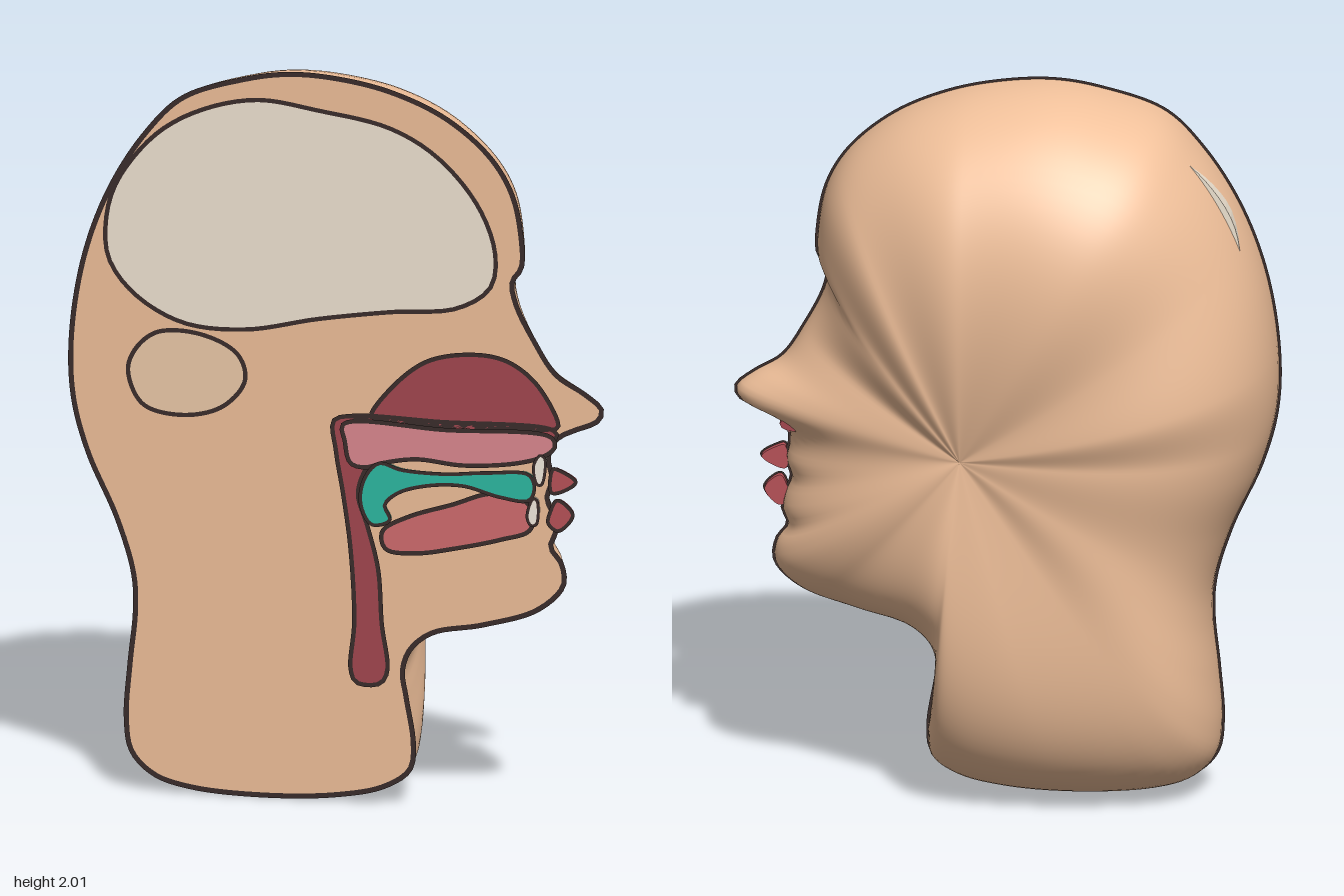
import * as THREE from 'three';

const CUT = 0.215; // plane of the flat section
const INK = 0x3a2c2a;

// Smooth closed outline through [x, y] pairs, anticlockwise seen from +z
function outline(pts, n) {
  const c = new THREE.CatmullRomCurve3(pts.map(([x, y]) => new THREE.Vector3(x, y, 0)), true);
  return c.getSpacedPoints(n).slice(0, n).map(p => new THREE.Vector2(p.x, p.y));
}

// Outline with small features averaged away
function soften(pts, reach) {
  const n = pts.length;
  return pts.map((_, i) => {
    const sum = new THREE.Vector2();
    for (let k = -reach; k <= reach; k++) sum.add(pts[(i + k + n) % n]);
    return sum.divideScalar(2 * reach + 1);
  });
}

function mesh(name, geo, color, side = THREE.FrontSide) {
  const m = new THREE.Mesh(geo, new THREE.MeshStandardMaterial({ color, side }));
  m.name = name;
  return m;
}

// Flat inked border following a closed outline
function border(pts, z, width) {
  const n = pts.length, pos = [], idx = [];
  pts.forEach((p, i) => {
    const a = pts[(i + n - 1) % n], b = pts[(i + 1) % n];
    const d = b.clone().sub(a).normalize();
    for (const s of [-1, 1]) pos.push(p.x + s * d.y * width / 2, p.y - s * d.x * width / 2, z);
    const k = 2 * i, l = 2 * ((i + 1) % n);
    idx.push(k, k + 1, l + 1, k, l + 1, l);
  });
  const g = new THREE.BufferGeometry();
  g.setAttribute('position', new THREE.Float32BufferAttribute(pos, 3));
  g.setIndex(idx);
  g.computeVertexNormals();
  return mesh('border', g, INK, THREE.DoubleSide);
}

// Flat organ plate with its border
function plate(name, pts, color, back, front, width = 0.012) {
  const o = outline(pts, 90), g = new THREE.Group();
  const geo = new THREE.ExtrudeGeometry(new THREE.Shape(o), { depth: front - back, bevelEnabled: false });
  geo.translate(0, 0, back);
  g.add(mesh(name + 'Body', geo, color), border(o, front + 0.001, width));
  g.name = name;
  return g;
}

// Swelling of the half head by direction from the cheek: [degrees, gain, edge power]
const SWELL = [[-180, 0.25, 2], [-150, 0.17, 2.2], [-125, 0.08, 3.4], [-105, 0.07, 4], [-80, 0.05, 3.6],
  [-50, -0.05, 2], [0, -0.13, 2], [30, -0.1, 2], [50, 0.02, 2], [65, 0.13, 2], [90, 0.29, 2],
  [120, 0.37, 2], [145, 0.3, 2], [165, 0.32, 2], [180, 0.25, 2]];
function swell(deg) {
  let i = 0;
  while (i < SWELL.length - 2 && deg > SWELL[i + 1][0]) i++;
  const [a, ka, pa] = SWELL[i], [b, kb, pb] = SWELL[i + 1];
  const s = THREE.MathUtils.smoothstep(deg, a, b);
  return [ka + (kb - ka) * s, pa + (pb - pa) * s];
}

// Rounded half head: rings shrink from the profile to one point on the cheek
function dome(o) {
  const RINGS = 32, n = o.length, cx = 0.11, cy = 1.03, pos = [], idx = [];
  const soft = soften(soften(o, 6), 6);
  for (let i = 0; i <= RINGS; i++) {
    const t = Math.sin(i / RINGS * Math.PI / 2);
    o.forEach((p, j) => {
      const q = soft[j].clone().lerp(p, t ** 4);
      const dx = q.x - cx, dy = q.y - cy;
      const [k, e] = swell(Math.atan2(dy, dx) * 180 / Math.PI);
      pos.push(cx + dx * t, cy + dy * t, CUT - Math.sqrt(Math.max(0, 1 - t ** e)) * (0.34 + k * t));
      if (i === RINGS) return;
      const a = i * n + j, b = i * n + (j + 1) % n, c = a + n, d = b + n;
      idx.push(a, d, c);
      if (i > 0) idx.push(a, b, d);
    });
  }
  const g = new THREE.BufferGeometry();
  g.setAttribute('position', new THREE.Float32BufferAttribute(pos, 3));
  g.setIndex(idx);
  g.computeVertexNormals();
  return g;
}

export function createModel() {
  const model = new THREE.Group();
  model.name = 'headSection';

  // Head profile: crown, back, neck, chin, lips, nose, brow
  const head = outline([[-0.13, 2], [-0.25, 1.98], [-0.42, 1.92], [-0.52, 1.82], [-0.62, 1.66],
    [-0.69, 1.47], [-0.725, 1.25], [-0.72, 1.08], [-0.68, 0.93], [-0.6, 0.75], [-0.555, 0.6],
    [-0.55, 0.5], [-0.565, 0.35], [-0.575, 0.2], [-0.56, 0.11], [-0.5, 0.05], [-0.4, 0.02],
    [-0.2, 0.008], [0, 0.02], [0.13, 0.05], [0.2, 0.1], [0.21, 0.17], [0.19, 0.3], [0.18, 0.37],
    [0.2, 0.43], [0.26, 0.48], [0.4, 0.51], [0.55, 0.56], [0.62, 0.63], [0.615, 0.69],
    [0.585, 0.735], [0.6, 0.78], [0.59, 0.83], [0.575, 0.87], [0.59, 0.92], [0.58, 0.97],
    [0.585, 1.01], [0.61, 1.04], [0.65, 1.06], [0.715, 1.09], [0.725, 1.12], [0.68, 1.16],
    [0.6, 1.21], [0.54, 1.3], [0.49, 1.4], [0.48, 1.46], [0.505, 1.5], [0.505, 1.58],
    [0.48, 1.7], [0.42, 1.8], [0.3, 1.9], [0.15, 1.965], [0, 1.995]], 300);
  const skin = 0xf0c09a;
  const cap = new THREE.ShapeGeometry(new THREE.Shape(head));
  cap.translate(0, 0, CUT);
  model.add(mesh('halfHead', dome(head), skin), mesh('cutFace', cap, skin));
  const headBorder = border(head, CUT + 0.001, 0.014);
  headBorder.name = 'headBorder';
  model.add(headBorder);

  // Brain and cerebellum
  model.add(plate('brain', [[-0.632, 1.55], [-0.62, 1.46], [-0.55, 1.37], [-0.42, 1.3], [-0.25, 1.29],
    [-0.05, 1.33], [0.15, 1.36], [0.33, 1.38], [0.42, 1.44], [0.435, 1.53], [0.39, 1.66],
    [0.28, 1.79], [0.15, 1.865], [-0.05, 1.905], [-0.22, 1.925], [-0.38, 1.885], [-0.5, 1.81],
    [-0.605, 1.67]], 0xf0e4d2, 0.07, CUT + 0.002));
  model.add(plate('cerebellum', [[-0.57, 1.16], [-0.53, 1.07], [-0.42, 1.045], [-0.31, 1.075],
    [-0.25, 1.15], [-0.27, 1.22], [-0.37, 1.27], [-0.49, 1.27], [-0.55, 1.22]],
    0xeccaa8, 0.1, CUT + 0.002));

  // Nasal cavity and its floor, throat and palate
  const red = 0xa4464f;
  model.add(plate('nasalCavity', [[0.095, 1.067], [0.13, 1.06], [0.58, 1.06], [0.607, 1.067],
    [0.55, 1.18], [0.47, 1.24], [0.38, 1.255], [0.25, 1.23], [0.15, 1.15]], red, 0.12, CUT + 0.004));
  model.add(plate('nasalFloor', [[0.02, 1.06], [0.025, 1.035], [0.3, 1.03], [0.59, 1.03],
    [0.605, 1.045], [0.59, 1.06], [0.3, 1.065]], red, 0.12, CUT + 0.005));
  model.add(plate('throat', [[-0.005, 1.055], [0, 0.97], [0.02, 0.85], [0.04, 0.7], [0.05, 0.5],
    [0.04, 0.37], [0.055, 0.335], [0.12, 0.335], [0.14, 0.37], [0.125, 0.5], [0.115, 0.65],
    [0.085, 0.77], [0.06, 0.85], [0.07, 0.9], [0.1, 0.96], [0.11, 1.04], [0.07, 1.065]],
    red, 0.2, CUT + 0.007));
  model.add(plate('palate', [[0.02, 1.045], [0.3, 1.045], [0.59, 1.04], [0.6, 1.015], [0.575, 0.99],
    [0.5, 0.965], [0.35, 0.95], [0.22, 0.96], [0.13, 0.945], [0.08, 0.93], [0.04, 0.94],
    [0.025, 1]], 0xdc8890, 0.2, CUT + 0.011));

  // Mouth: tongue, airway, teeth and lips
  model.add(plate('tongue', [[0.13, 0.76], [0.2, 0.8], [0.32, 0.84], [0.42, 0.875], [0.5, 0.87],
    [0.54, 0.83], [0.53, 0.78], [0.45, 0.75], [0.33, 0.72], [0.22, 0.7], [0.14, 0.705],
    [0.125, 0.73]], 0xd16c6e, 0.2, CUT + 0.009));
  model.add(plate('airway', [[0.07, 0.83], [0.08, 0.9], [0.12, 0.945], [0.18, 0.93], [0.3, 0.925],
    [0.42, 0.935], [0.53, 0.935], [0.545, 0.9], [0.53, 0.865], [0.45, 0.87], [0.35, 0.895],
    [0.25, 0.89], [0.17, 0.865], [0.135, 0.83], [0.15, 0.79], [0.1, 0.775]],
    0x2cbaa2, 0.2, CUT + 0.018, 0.01));
  const teeth = { upperTooth: [[0.56, 0.99], [0.543, 0.96], [0.553, 0.91], [0.564, 0.91], [0.575, 0.96], [0.572, 0.985]],
    lowerTooth: [[0.542, 0.87], [0.525, 0.82], [0.535, 0.797], [0.55, 0.8], [0.552, 0.865]] };
  for (const name in teeth) model.add(plate(name, teeth[name], 0xf4ece0, 0.2, CUT + 0.018, 0.008));
  const lips = { upperLip: [[0.597, 0.955], [0.588, 0.925], [0.592, 0.89], [0.61, 0.89], [0.658, 0.922], [0.61, 0.953]],
    lowerLip: [[0.605, 0.868], [0.59, 0.84], [0.583, 0.805], [0.61, 0.785], [0.65, 0.83], [0.62, 0.865]] };
  for (const name in lips) model.add(plate(name, lips[name], 0xb85158, CUT, CUT + 0.018, 0.01));

  return model;
}
